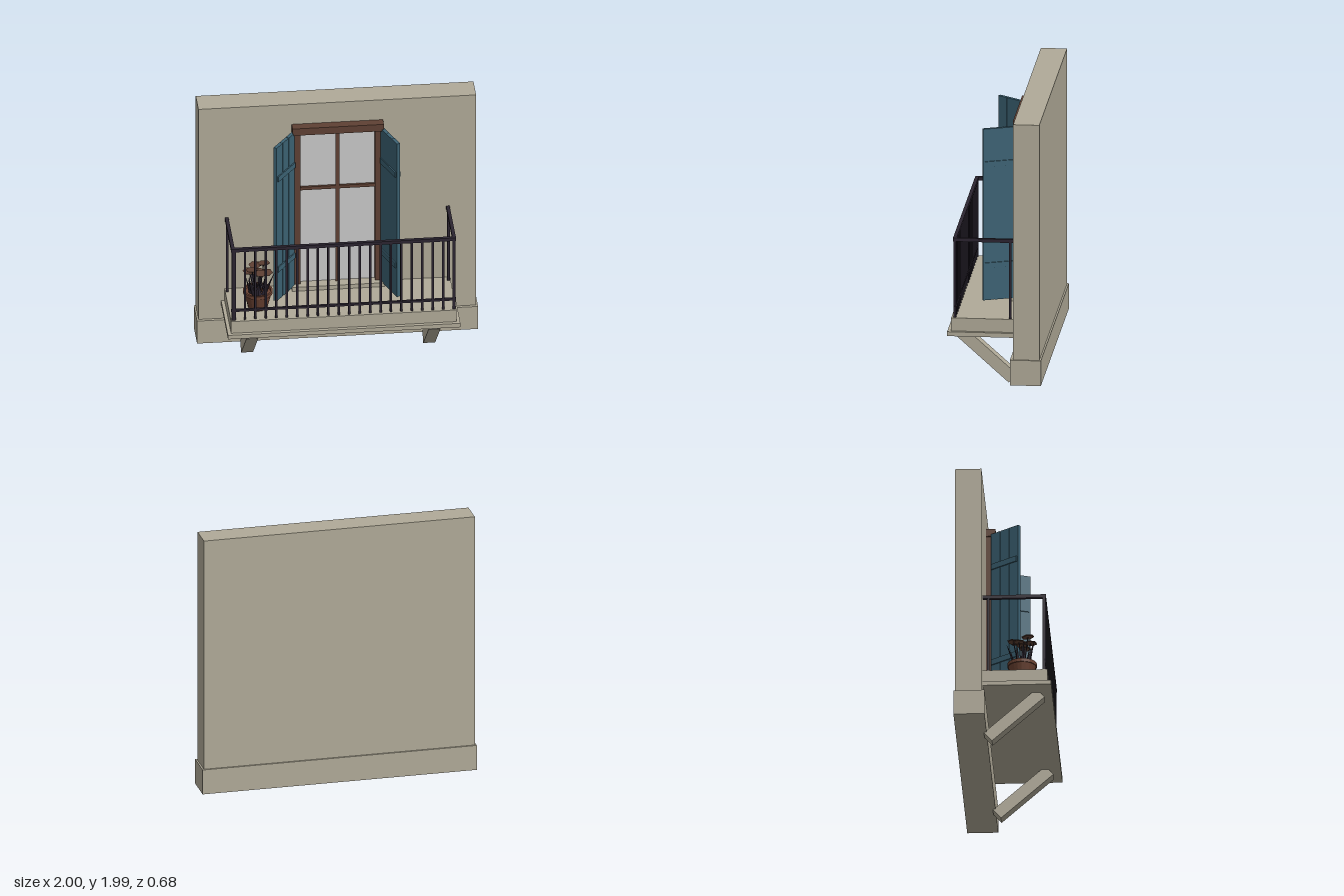
import * as THREE from 'three';

const mat = (name, color, side = THREE.FrontSide) => {
  const m = new THREE.MeshStandardMaterial({ color, side });
  m.name = name;
  return m;
};

export function createModel() {
  const stone = mat('stone', 0xb0aa98);
  const wood = mat('brown wood', 0x5e4033);
  const blue = mat('blue paint', 0x3c6273);
  const iron = mat('dark iron', 0x2b2430);
  const glass = mat('pale glass', 0xc8c8c8);
  const clay = mat('clay', 0x6b4232);

  const model = new THREE.Group();
  model.name = 'balcony';
  const group = (name, parent = model) => {
    const g = new THREE.Group();
    g.name = name;
    parent.add(g);
    return g;
  };
  const add = (name, geometry, material, parent) => {
    const m = new THREE.Mesh(geometry, material);
    m.name = name;
    parent.add(m);
    return m;
  };
  // Box given by its lower and upper limits on each axis
  const box = (name, material, parent, x0, x1, y0, y1, z0, z1) => {
    const m = add(name, new THREE.BoxGeometry(x1 - x0, y1 - y0, z1 - z0), material, parent);
    m.position.set((x0 + x1) / 2, (y0 + y1) / 2, (z0 + z1) / 2);
    return m;
  };
  const wallFront = -0.144;

  // Wall with a thicker plinth
  const wall = group('wall');
  box('wallPanel', stone, wall, -0.988, 0.988, 0.25, 1.987, -0.33, wallFront);
  box('plinth', stone, wall, -1, 1, 0.07, 0.255, -0.342, -0.122);

  // Balcony floor, its lip and the slanted brackets
  const floor = group('floor');
  box('slab', stone, floor, -0.802, 0.802, 0.4, 0.498, wallFront, 0.315);
  box('lip', stone, floor, -0.827, 0.827, 0.37, 0.402, wallFront, 0.342);
  for (const s of [-1, 1]) {
    const bracket = add('bracket', new THREE.BoxGeometry(0.085, 0.086, 0.5), stone, floor);
    bracket.position.set(s * 0.648, 0.199, 0.074);
    bracket.rotation.x = -0.73;
  }

  // Railing
  const railing = group('railing');
  box('frontTopRail', iron, railing, -0.8, 0.8, 1.06, 1.085, 0.278, 0.303);
  box('frontBottomRail', iron, railing, -0.8, 0.8, 0.567, 0.583, 0.281, 0.299);
  for (const s of [-1, 1]) {
    const x = s * 0.787;
    box('sideTopRail', iron, railing, x - 0.0125, x + 0.0125, 1.06, 1.085, wallFront, 0.29);
    box('wallPost', iron, railing, x - 0.009, x + 0.009, 0.495, 1.065, -0.113, -0.096);
    box('cornerPost', iron, railing, x - 0.009, x + 0.009, 0.495, 1.065, 0.281, 0.299);
  }
  for (let i = 0; i < 22; i++) {
    const x = -0.775 + i * 1.558 / 21;
    box('baluster', iron, railing, x - 0.008, x + 0.008, 0.495, 1.065, 0.282, 0.298);
  }

  // Glazed door with frame, sill and glazing bars
  const door = group('door');
  box('sill', stone, door, -0.33, 0.33, 0.495, 0.53, wallFront, -0.057);
  box('pane', glass, door, -0.27, 0.27, 0.53, 1.77, wallFront, -0.136);
  box('lintel', wood, door, -0.325, 0.325, 1.768, 1.824, wallFront, -0.077);
  for (const s of [-1, 1]) {
    box('jamb', wood, door, s * 0.288 - 0.023, s * 0.288 + 0.023, 0.53, 1.77, wallFront, -0.1);
  }
  box('mullion', wood, door, -0.015, 0.015, 0.53, 1.77, wallFront, -0.118);
  box('transom', wood, door, -0.268, 0.268, 1.29, 1.315, wallFront, -0.12);

  // Plank shutters, hinged at the jambs and swung out by different angles
  const shutter = (name, x, angle) => {
    const g = group(name);
    g.position.set(x, 0, -0.1);
    g.rotation.y = angle;
    for (let i = 0; i < 3; i++) {
      const a = i * 0.0835;
      box('plank', blue, g, a, a + 0.081, 0.522, 1.782, -0.0125, 0.0125);
    }
    box('plankCore', blue, g, 0.002, 0.246, 0.524, 1.78, -0.009, 0.009);
    for (const y of [0.777, 1.522]) {
      box('batten', blue, g, 0.004, 0.236, y - 0.021, y + 0.021, -0.021, 0.021);
    }
  };
  shutter('rightShutter', -0.318, -Math.PI + 0.93);
  shutter('leftShutter', 0.315, -1.19);

  // Potted plant
  const plant = group('pottedPlant');
  plant.position.set(-0.593, 0.498, 0.125);
  const potProfile = [[0, 0], [0.068, 0], [0.098, 0.115], [0.105, 0.115], [0.105, 0.14], [0.092, 0.14], [0.09, 0.122], [0, 0.122]]
    .map(([r, y]) => new THREE.Vector2(r, y));
  const potGeometry = new THREE.LatheGeometry(potProfile, 20).toNonIndexed();
  potGeometry.computeVertexNormals();
  add('pot', potGeometry, clay, plant);

  // Pointed leaves leaning outwards
  for (let i = 0; i < 9; i++) {
    const leaf = group('leaf', plant);
    const length = 0.12 + 0.03 * (i % 3);
    const geometry = new THREE.ConeGeometry(0.022, length, 4);
    geometry.translate(0, length / 2, 0);
    geometry.scale(1, 1, 0.5);
    const blade = add('leafBlade', geometry.toNonIndexed(), iron, leaf);
    blade.geometry.computeVertexNormals();
    blade.position.set(0, 0.125, 0.055);
    blade.rotation.x = 0.12 + 0.13 * (i % 3);
    leaf.rotation.y = i * Math.PI * 2 / 9;
  }

  // Flat blooms on thin stems
  for (let i = 0; i < 7; i++) {
    const a = i * Math.PI / 3 + 0.3;
    const r = i === 6 ? 0 : 0.062;
    const y = 0.285 + 0.022 * (i % 3);
    const top = new THREE.Vector3(Math.cos(a) * r, y, Math.sin(a) * r);
    const stemPath = new THREE.LineCurve3(new THREE.Vector3(top.x * 0.4, 0.12, top.z * 0.4), top);
    add('stem', new THREE.TubeGeometry(stemPath, 1, 0.004, 5), iron, plant);
    const bloom = add('bloom', new THREE.CylinderGeometry(0.047, 0.042, 0.006, 6), wood, plant);
    bloom.position.copy(top);
    bloom.rotation.set(0.1 * Math.sin(a * 2), a, 0.08 * Math.cos(a));
  }

  return model;
}
